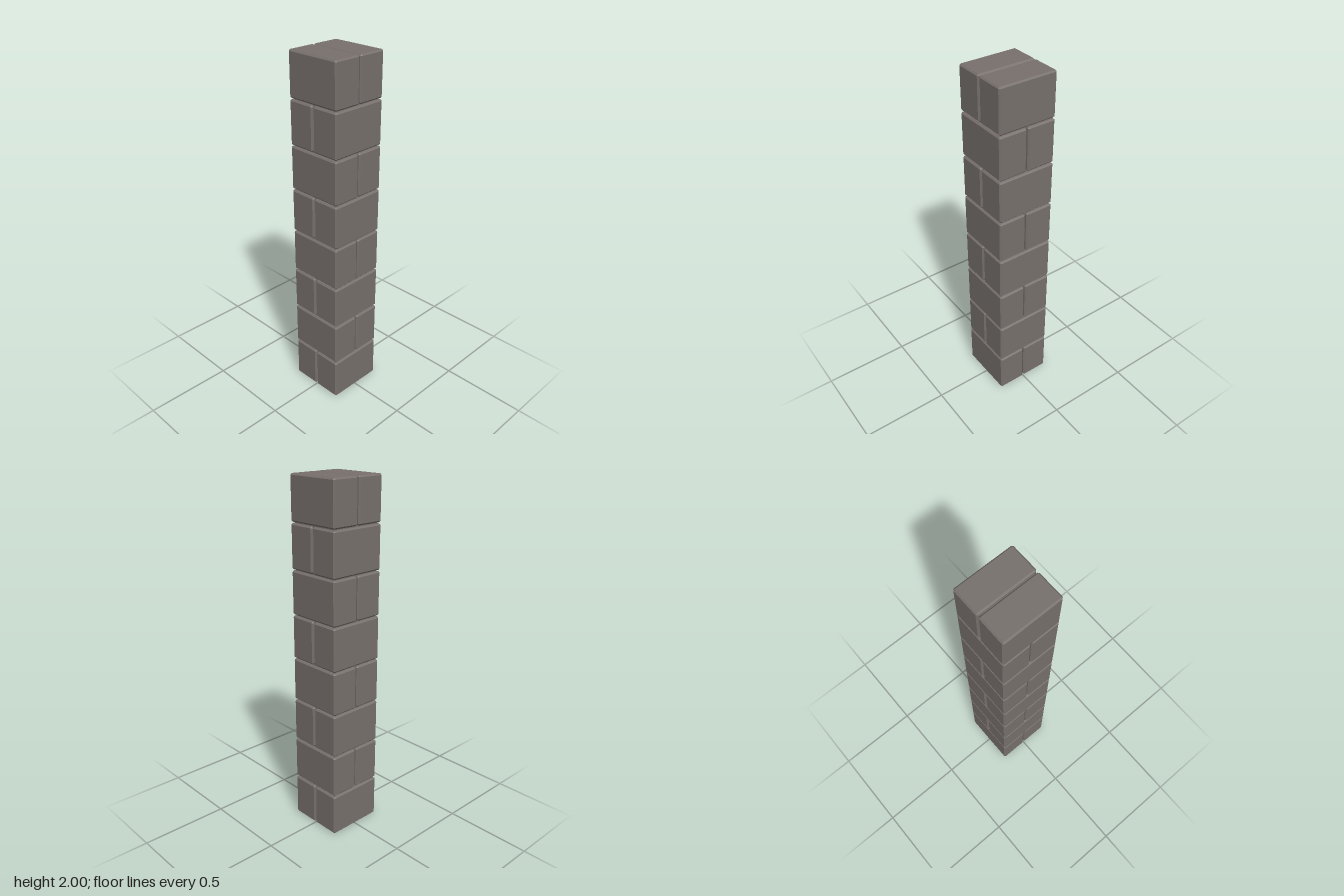
import * as THREE from 'three';
import { ConvexGeometry } from 'three/addons/geometries/ConvexGeometry.js';

const COURSES = 8;
const GAP = 0.0068; // joint between bricks
const SIDE = 0.333; // pillar width
const BEVEL = 0.008;
const HEIGHT = (2 - GAP * (COURSES - 1)) / COURSES;
const DEPTH = (SIDE - GAP) / 2;

// Box with every edge and corner chamfered
function chamferedBox(w, h, d, b) {
  const points = [];
  for (const x of [-w / 2, w / 2])
    for (const y of [-h / 2, h / 2])
      for (const z of [-d / 2, d / 2]) {
        const bx = x - Math.sign(x) * b;
        const by = y - Math.sign(y) * b;
        const bz = z - Math.sign(z) * b;
        points.push(
          new THREE.Vector3(x, by, bz),
          new THREE.Vector3(bx, y, bz),
          new THREE.Vector3(bx, by, z)
        );
      }
  return new ConvexGeometry(points);
}

export function createModel() {
  const model = new THREE.Group();
  model.name = 'brickPillar';
  const stone = new THREE.MeshStandardMaterial({ color: 0x77706c });
  stone.name = 'warm grey stone';

  // Pairs of bricks, turned a quarter on every other course
  const brickGeometry = chamferedBox(SIDE, HEIGHT, DEPTH, BEVEL);
  for (let i = 0; i < COURSES; i++) {
    const course = new THREE.Group();
    course.name = `course${i + 1}`;
    course.position.y = HEIGHT / 2 + i * (HEIGHT + GAP);
    if (i % 2 === 0) course.rotation.y = Math.PI / 2;
    for (const side of [-1, 1]) {
      const brick = new THREE.Mesh(brickGeometry, stone);
      brick.name = 'brick';
      brick.position.z = (side * (DEPTH + GAP)) / 2;
      course.add(brick);
    }
    model.add(course);
  }

  // Recessed core that closes the joints
  const core = new THREE.Mesh(new THREE.BoxGeometry(0.3, 1.968, 0.3), stone);
  core.name = 'mortarCore';
  core.position.y = 1;
  model.add(core);

  return model;
}
